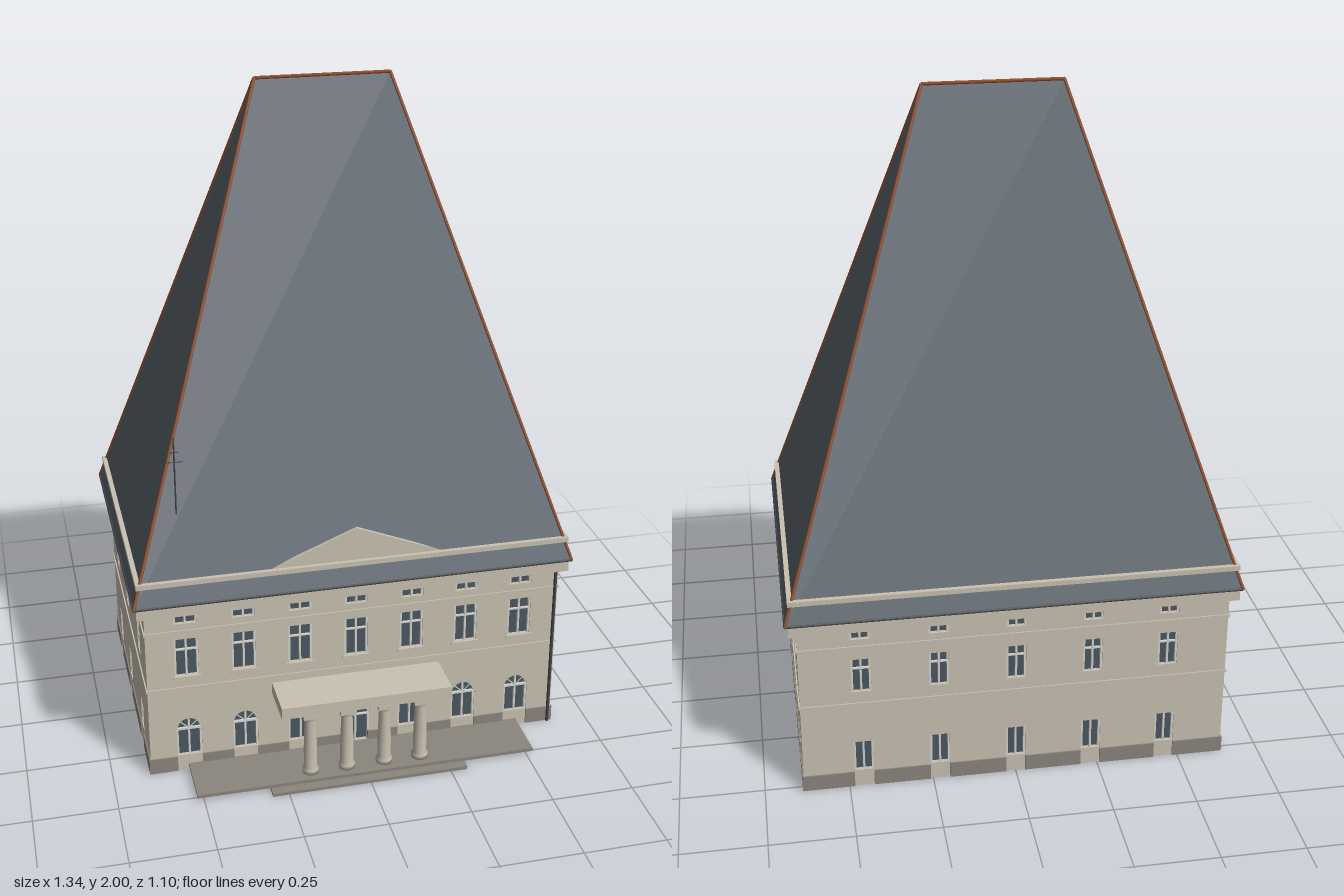
import * as THREE from 'three';

const mat = (name, color, side = THREE.FrontSide) => {
  const m = new THREE.MeshStandardMaterial({ color, side });
  m.name = name;
  return m;
};

export function createModel() {
  const root = new THREE.Group();
  root.name = 'house';
  const stone = mat('creamStone', 0xc9c2b2);
  const grey = mat('greyStone', 0x8b857d);
  const slate = mat('slate', 0x5a636c, THREE.DoubleSide);
  const glass = mat('windowGlass', 0x4b5761, THREE.DoubleSide);
  const white = mat('paleFrame', 0xd6d4cc);
  const copper = mat('copper', 0x8f4a26);
  const dark = mat('darkMetal', 0x45484a);

  const HX = 0.635, HZ = 0.435, CZ = -0.083, WALL_TOP = 0.56;

  const add = (parent, name, geo, m, x = 0, y = 0, z = 0) => {
    const mesh = new THREE.Mesh(geo, m);
    mesh.name = name;
    mesh.position.set(x, y, z);
    parent.add(mesh);
    return mesh;
  };
  // Box given by its lower and upper corners
  const box = (parent, name, m, x0, y0, z0, x1, y1, z1) =>
    add(parent, name, new THREE.BoxGeometry(x1 - x0, y1 - y0, z1 - z0), m,
      (x0 + x1) / 2, (y0 + y1) / 2, (z0 + z1) / 2);
  // Thin round bar between two points
  const bar = (parent, name, m, a, b, r, sides = 6) => {
    const p = new THREE.Vector3(...a), q = new THREE.Vector3(...b);
    const d = q.clone().sub(p);
    const mesh = add(parent, name, new THREE.CylinderGeometry(r, r, d.length(), sides), m);
    mesh.position.copy(p).add(q).multiplyScalar(0.5);
    mesh.quaternion.setFromUnitVectors(new THREE.Vector3(0, 1, 0), d.normalize());
    return mesh;
  };

  // Outline of a rectangular or round-headed opening
  const opening = (o, C) => {
    const s = new C(), h = o.w / 2;
    s.moveTo(o.x - h, o.y0);
    s.lineTo(o.x + h, o.y0);
    if (o.arch) {
      s.lineTo(o.x + h, o.y1 - h);
      s.absarc(o.x, o.y1 - h, h, 0, Math.PI, false);
    } else {
      s.lineTo(o.x + h, o.y1);
      s.lineTo(o.x - h, o.y1);
    }
    s.lineTo(o.x - h, o.y0);
    return s;
  };

  // Panes and glazing bars set inside the opening
  const fillOpening = (g, o) => {
    const h = o.w / 2, z0 = -0.011, z1 = -0.003, t = 0.003;
    add(g, 'windowPane', new THREE.ShapeGeometry(opening(o, THREE.Shape), 8), glass, 0, 0, -0.012);
    const spring = o.arch ? o.y1 - h : o.y1;
    for (const s of [-1, 1]) {
      const e = o.x + s * (h - t);
      box(g, 'windowJamb', white, e - t, o.y0, z0, e + t, spring, z1);
    }
    box(g, 'windowMullion', white, o.x - t, o.y0, z0, o.x + t, o.y1, z1);
    if (o.arch) {
      box(g, 'windowTransom', white, o.x - h, spring - t, z0, o.x + h, spring + t, z1);
      for (const a of [0.75, Math.PI - 0.75])
        bar(g, 'fanBar', white, [o.x, spring, -0.007],
          [o.x + h * Math.cos(a), spring + h * Math.sin(a), -0.007], 0.002, 4);
      const rim = add(g, 'archRim', new THREE.TorusGeometry(h - 0.002, 0.003, 4, 12, Math.PI), white, o.x, spring, -0.007);
      rim.scale.z = 0.8;
    } else if (o.transom) {
      const y = o.y0 + (o.y1 - o.y0) * 0.7;
      box(g, 'windowTransom', white, o.x - h, y - 0.002, z0, o.x + h, y + 0.002, z1);
    }
    if (o.sill) box(g, 'windowSill', stone, o.x - h - 0.006, o.y0 - 0.008, -0.005, o.x + h + 0.006, o.y0, 0.006);
  };

  // One facade: pierced wall, windows, string courses and plinth
  const facade = (name, half, dist, turn, openings, gaps, gapW) => {
    const g = new THREE.Group();
    g.name = name;
    const s = new THREE.Shape();
    s.moveTo(-half, 0); s.lineTo(half, 0); s.lineTo(half, WALL_TOP); s.lineTo(-half, WALL_TOP); s.lineTo(-half, 0);
    openings.forEach(o => s.holes.push(opening(o, THREE.Path)));
    add(g, 'wall', new THREE.ExtrudeGeometry(s, { depth: 0.02, bevelEnabled: false, curveSegments: 8 }), stone, 0, 0, -0.02);
    openings.forEach(o => fillOpening(g, o));
    for (const y of [0.285, 0.478]) box(g, 'stringCourse', stone, -half - 0.004, y, -0.01, half + 0.004, y + 0.008, 0.004);
    let from = -half - 0.004;
    for (const x of [...gaps, null]) {
      const to = x === null ? half + 0.004 : x - gapW / 2;
      box(g, 'plinth', grey, from, 0, -0.01, to, 0.05, 0.004);
      from = x + gapW / 2;
    }
    g.rotation.y = turn;
    g.position.set(Math.sin(turn) * dist, 0, CZ + Math.cos(turn) * dist);
    root.add(g);
    return g;
  };

  const frontX = [-0.515, -0.343, -0.172, 0, 0.172, 0.343, 0.515];
  const frontOpenings = [];
  for (const x of frontX) {
    frontOpenings.push({ x, w: 0.072, y0: 0.33, y1: 0.455, transom: true, sill: true });
    frontOpenings.push({ x, w: 0.07, y0: 0.507, y1: 0.54 });
    frontOpenings.push(x ? { x, w: 0.076, y0: 0.052, y1: 0.18, arch: true }
      : { x, w: 0.086, y0: 0.02, y1: 0.15, transom: true });
  }
  facade('frontFacade', HX, HZ, 0, frontOpenings, frontX, 0.076);

  const plainOpenings = xs => xs.flatMap(x => [
    { x, w: 0.058, y0: 0.055, y1: 0.155 },
    { x, w: 0.058, y0: 0.33, y1: 0.44, transom: true },
    { x, w: 0.058, y0: 0.507, y1: 0.54 }]);
  const backX = [-0.455, -0.228, 0, 0.228, 0.455];
  facade('backFacade', HX, HZ, Math.PI, plainOpenings(backX), backX, 0.058);
  const leftX = [-0.263, 0.027, 0.282];
  facade('leftFacade', HZ, HX, Math.PI / 2, plainOpenings(leftX), leftX, 0.058);
  const rightX = leftX.map(x => -x).reverse();
  facade('rightFacade', HZ, HX, -Math.PI / 2, plainOpenings(rightX), rightX, 0.058);

  // Cornice and the band above the eaves
  box(root, 'cornice', stone, -0.658, 0.545, CZ - 0.458, 0.658, 0.584, CZ + 0.458);
  box(root, 'roofBand', stone, -0.655, 0.642, CZ - 0.453, 0.655, 0.657, CZ + 0.453);

  // Steep hipped roof
  const ex = 0.665, ez = 0.463, ey = 0.584, ry = 1.995, rx = 0.2;
  const A = [-ex, ey, CZ + ez], B = [ex, ey, CZ + ez], C = [ex, ey, CZ - ez], D = [-ex, ey, CZ - ez];
  const L = [-rx, ry, CZ], R = [rx, ry, CZ];
  const roof = new THREE.BufferGeometry();
  roof.setAttribute('position', new THREE.Float32BufferAttribute(
    [A, B, R, A, R, L, B, C, R, C, D, L, C, L, R, D, A, L].flat(), 3));
  roof.computeVertexNormals();
  add(root, 'roof', roof, slate);
  for (const [p, q] of [[A, L], [D, L], [B, R], [C, R], [L, R]]) bar(root, 'ridgeCap', copper, p, q, 0.005);
  for (const [p, q] of [[A, B], [B, C], [C, D], [D, A]]) bar(root, 'gutter', dark, p, q, 0.004);

  // Pediment on the front of the roof
  const tri = new THREE.Shape([new THREE.Vector2(-0.26, 0.655), new THREE.Vector2(0.26, 0.655), new THREE.Vector2(0, 0.76)]);
  add(root, 'pediment', new THREE.ExtrudeGeometry(tri, { depth: 0.01, bevelEnabled: false }), stone, 0, 0, 0.347);

  // Steps and portico
  const FZ = CZ + HZ;
  box(root, 'lowerStep', grey, -0.3, 0, FZ, 0.3, 0.01, 0.548);
  box(root, 'upperStep', grey, -0.52, 0.01, FZ, 0.52, 0.02, 0.518);
  box(root, 'porticoRoof', stone, -0.26, 0.23, FZ, 0.26, 0.267, 0.498);
  const shaft = [[0, 0.02], [0.025, 0.02], [0.025, 0.034], [0.02, 0.04], [0.0205, 0.1], [0.017, 0.205],
    [0.022, 0.212], [0.022, 0.218], [0, 0.218]].map(p => new THREE.Vector2(...p));
  for (const x of [-0.17, -0.058, 0.058, 0.17]) {
    add(root, 'column', new THREE.LatheGeometry(shaft, 16), stone, x, 0, 0.474);
    box(root, 'columnCapital', stone, x - 0.025, 0.217, 0.449, x + 0.025, 0.231, 0.499);
  }

  // Door canopy on brackets
  box(root, 'doorLintel', stone, -0.055, 0.152, FZ, 0.055, 0.166, FZ + 0.008);
  box(root, 'doorCanopy', dark, -0.09, 0.172, FZ, 0.09, 0.176, 0.4);
  for (const x of [-0.088, 0.088]) bar(root, 'canopyStay', dark, [x, 0.205, FZ], [x, 0.175, 0.4], 0.002);

  // Downpipe and aerial
  bar(root, 'downpipe', dark, [0.625, 0, FZ + 0.006], [0.625, 0.55, FZ + 0.006], 0.005);
  const ax = -0.52, az = 0.295;
  bar(root, 'aerialMast', dark, [ax, 0.835, az], [ax, 1.075, az], 0.0025);
  bar(root, 'aerialArm', dark, [ax - 0.025, 1.0, az], [ax + 0.025, 1.0, az], 0.0015);
  bar(root, 'aerialArm', dark, [ax - 0.012, 1.03, az], [ax + 0.012, 1.03, az], 0.0015);
  return root;
}
